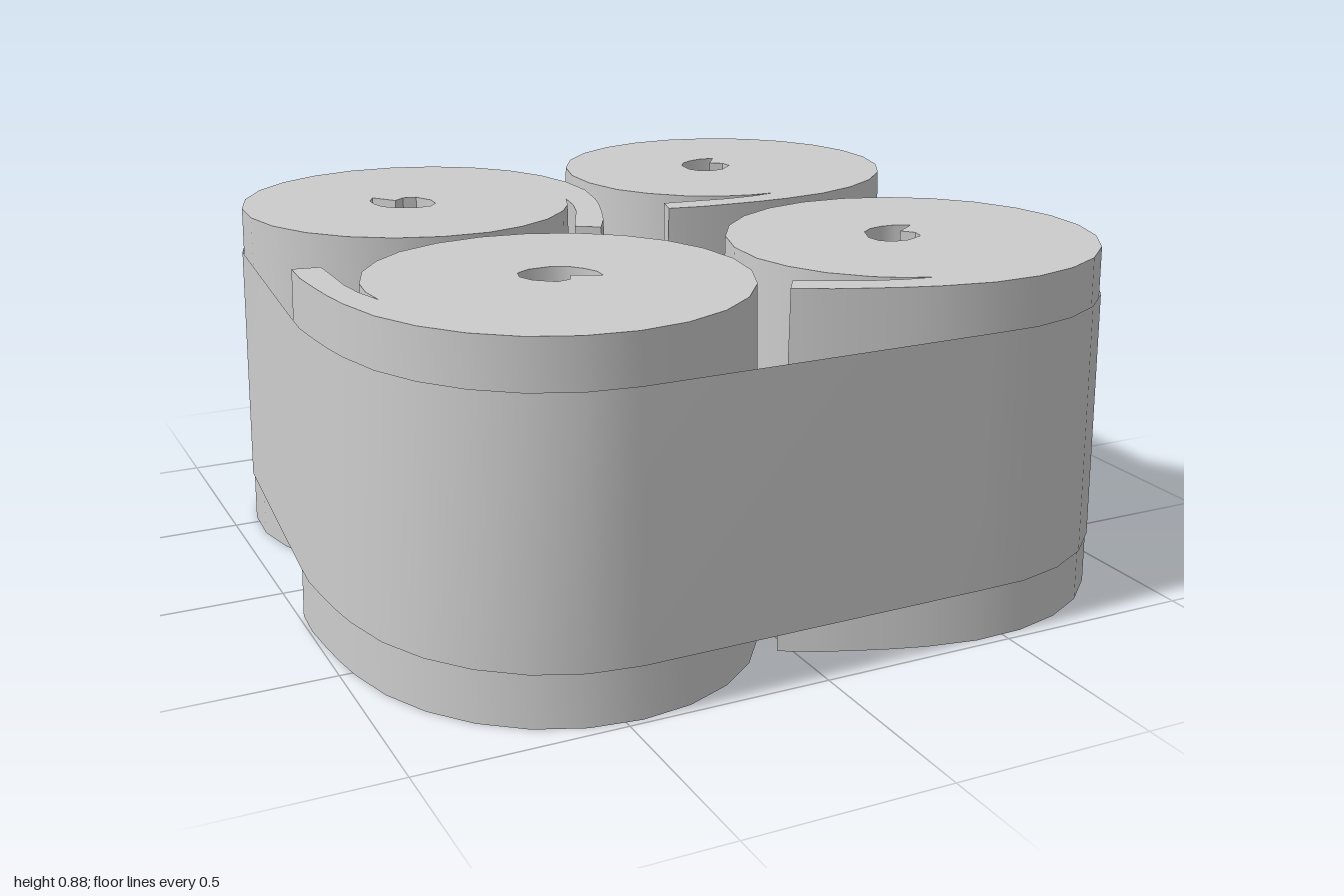
import * as THREE from 'three';
import { toCreasedNormals } from 'three/addons/utils/BufferGeometryUtils.js';

const BOTTOM = 0.01, TOP = 0.888, FLARE = 0.035;

// Roll centres (x, z) and how far each is turned, clockwise seen from above
const ROLLS = [
  { name: 'backRightRoll', x: -0.462, z: -0.453, turn: 0 },
  { name: 'backLeftRoll', x: 0.512, z: -0.515, turn: 72 },
  { name: 'frontRightRoll', x: -0.46, z: 0.508, turn: 155 },
  { name: 'frontLeftRoll', x: 0.512, z: 0.492, turn: 90 },
];

const polar = (deg, r) => {
  const a = THREE.MathUtils.degToRad(deg);
  return new THREE.Vector2(r * Math.cos(a), r * Math.sin(a));
};

// Rolls widen slightly towards the bottom
const flare = (y) => 1 + FLARE * (TOP - y) / (TOP - BOTTOM);

// Spiral outline: disc edge, then the loose tail and back along its inside
function rollOutline() {
  const start = 25;
  const pts = [[0, 0.41], [10, 0.423], [20, 0.434], [34, 0.447], [47, 0.455]];
  for (let a = 60; a <= 315; a += 15) pts.push([a, 0.462]);
  pts.push([330, 0.465], [345, 0.474], [360, 0.49], [369, 0.508], [377, 0.532], [386, 0.573], [394, 0.615]);
  pts.push([397, 0.555], [389, 0.505], [379, 0.467], [370, 0.438]);
  return pts.map(([a, r]) => polar(a + start, r));
}

// Cylinder-like roll with a notched hole through its core
function rollGeometry() {
  const shape = new THREE.Shape(rollOutline());
  const hole = [
    [-0.1, -0.065], [-0.118, -0.03], [-0.12, 0.01], [-0.11, 0.05], [-0.085, 0.082], [-0.03, 0.105],
    [0.01, 0.1], [0.032, 0.075], [0.035, 0.03], [0.01, -0.022], [-0.025, -0.03], [-0.055, -0.005],
  ];
  shape.holes.push(new THREE.Path(hole.map(([x, y]) => new THREE.Vector2(x, y))));
  const geo = new THREE.ExtrudeGeometry(shape, { depth: TOP - BOTTOM, bevelEnabled: false });
  geo.rotateX(Math.PI / 2).translate(0, TOP, 0);
  const p = geo.attributes.position;
  for (let i = 0; i < p.count; i++) {
    const s = flare(p.getY(i));
    p.setX(i, p.getX(i) * s);
    p.setZ(i, p.getZ(i) * s);
  }
  return toCreasedNormals(geo, 0.6);
}

// Convex hull of 2D points (monotone chain)
function hull(points) {
  const sorted = [...points].sort((a, b) => a.x - b.x || a.z - b.z);
  const cross = (o, a, b) => (a.x - o.x) * (b.z - o.z) - (a.z - o.z) * (b.x - o.x);
  const half = (list) => {
    const out = [];
    for (const p of list) {
      while (out.length > 1 && cross(out[out.length - 2], out[out.length - 1], p) <= 0) out.pop();
      out.push(p);
    }
    out.pop();
    return out;
  };
  return [...half(sorted), ...half(sorted.reverse())];
}

// Thin wrap stretched around all four rolls
function bandGeometry() {
  const pad = 0.004;
  const points = [];
  for (const roll of ROLLS) {
    const centre = new THREE.Vector2();
    for (const q of rollOutline()) {
      const v = q.rotateAround(centre, THREE.MathUtils.degToRad(roll.turn));
      v.setLength(v.length() + pad);
      const s = flare(0.45);
      points.push({ x: roll.x + v.x * s, z: roll.z + v.y * s, roll, v });
    }
  }
  const loop = hull(points);
  const n = loop.length, pos = [], index = [];
  for (const y of [0.14, 0.77]) {
    for (const { roll, v } of loop) pos.push(roll.x + v.x * flare(y), y, roll.z + v.y * flare(y));
  }
  for (let i = 0; i < n; i++) {
    const j = (i + 1) % n;
    index.push(i, n + i, j, j, n + i, n + j);
  }
  const geo = new THREE.BufferGeometry();
  geo.setAttribute('position', new THREE.Float32BufferAttribute(pos, 3));
  geo.setIndex(index);
  geo.computeVertexNormals();
  return geo;
}

export function createModel() {
  const model = new THREE.Group();
  model.name = 'bandedRolls';
  const grey = new THREE.MeshStandardMaterial({ color: 0xcccccc });
  const thin = new THREE.MeshStandardMaterial({ color: 0xcccccc, side: THREE.DoubleSide });

  // Four rolls sharing one shape
  const geo = rollGeometry();
  for (const { name, x, z, turn } of ROLLS) {
    const roll = new THREE.Mesh(geo, grey);
    roll.name = name;
    roll.position.set(x, 0, z);
    roll.rotation.y = -THREE.MathUtils.degToRad(turn);
    model.add(roll);
  }

  // Wrapping band
  const band = new THREE.Mesh(bandGeometry(), thin);
  band.name = 'wrappingBand';
  model.add(band);
  return model;
}
